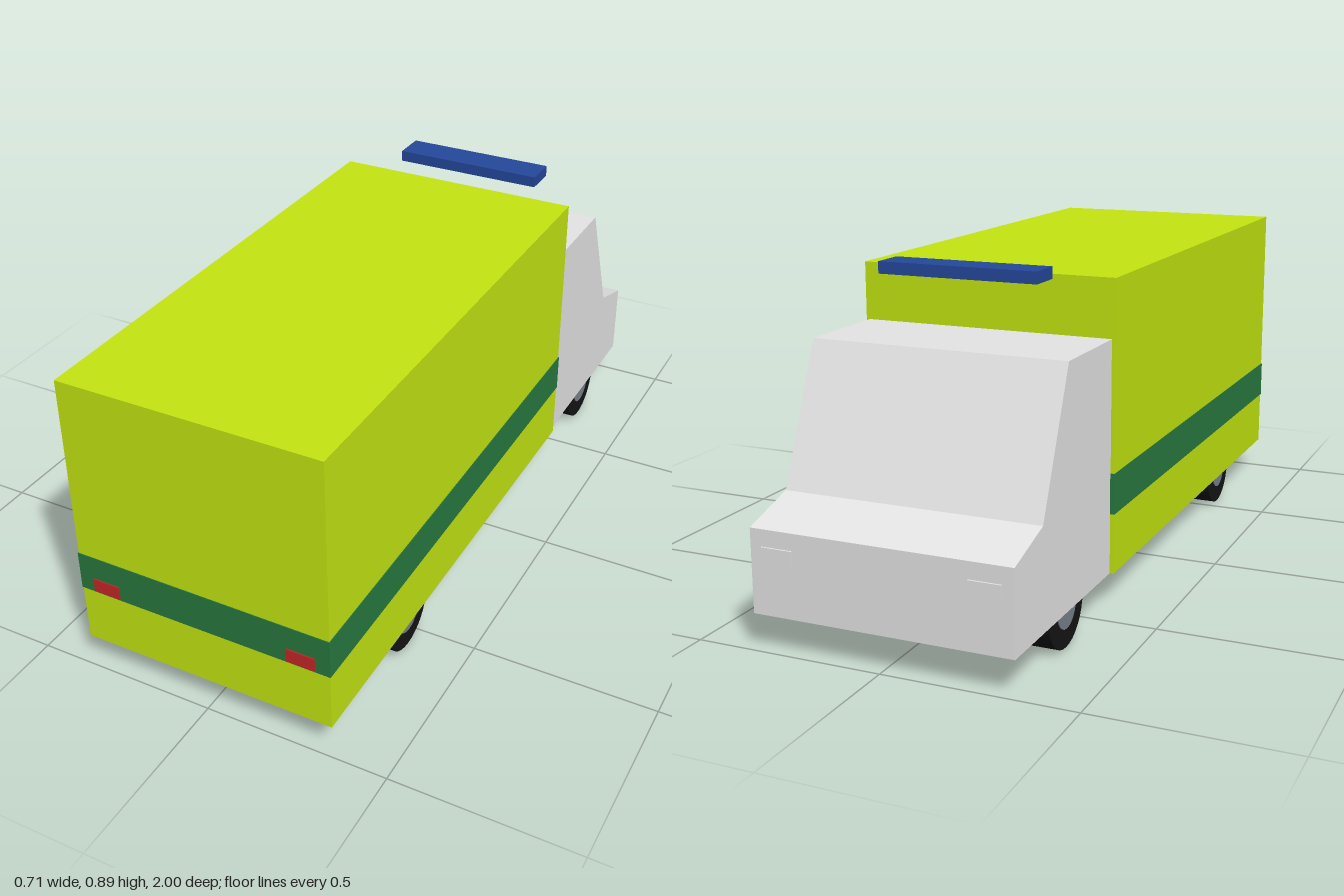
import * as THREE from 'three';

const mat = (name, color) => {
  const m = new THREE.MeshStandardMaterial({ color });
  m.name = name;
  return m;
};

export function createModel() {
  const lime = mat('lime', 0xc4e611);
  const green = mat('green', 0x287a40);
  const silver = mat('silver', 0xe5e5e5);
  const blue = mat('blue', 0x24489b);
  const red = mat('red', 0xc42626);
  const rubber = mat('rubber', 0x141414);
  const hubGrey = mat('hubGrey', 0x7a828c);

  const model = new THREE.Group();
  model.name = 'boxTruck';

  const add = (name, geometry, material, x = 0, y = 0, z = 0) => {
    const mesh = new THREE.Mesh(geometry, material);
    mesh.name = name;
    mesh.position.set(x, y, z);
    model.add(mesh);
    return mesh;
  };
  // Box given by its limits on each axis
  const box = (name, material, [x0, x1], [y0, y1], [z0, z1]) =>
    add(name, new THREE.BoxGeometry(x1 - x0, y1 - y0, z1 - z0), material,
      (x0 + x1) / 2, (y0 + y1) / 2, (z0 + z1) / 2);

  // Cargo body with a band around it, and the light bar
  box('cargoBody', lime, [-0.352, 0.352], [0.093, 0.858], [-0.414, 0.995]);
  box('bodyStripe', green, [-0.354, 0.354], [0.253, 0.36], [-0.416, 0.997]);
  box('lightBar', blue, [-0.215, 0.215], [0.858, 0.889], [-0.583, -0.49]);

  // Cab: side profile (-z, y) extruded across the width
  const profile = new THREE.Shape([
    [0.41, 0.093], [0.995, 0.093], [0.995, 0.308],
    [0.84, 0.355], [0.69, 0.705], [0.41, 0.705],
  ].map(([z, y]) => new THREE.Vector2(z, y)));
  const cab = new THREE.ExtrudeGeometry(profile, { depth: 0.684, bevelEnabled: false });
  cab.translate(0, 0, -0.342).rotateY(Math.PI / 2);
  add('cab', cab, silver);

  // Lamps and wheels, mirrored left and right
  const tyre = new THREE.CylinderGeometry(0.105, 0.105, 0.075, 32).rotateZ(Math.PI / 2);
  const hub = new THREE.CylinderGeometry(0.056, 0.056, 0.08, 24).rotateZ(Math.PI / 2);
  for (const side of [-1, 1]) {
    const lampX = [side * 0.275 - 0.038, side * 0.275 + 0.038];
    box('tailLamp', red, lampX, [0.257, 0.295], [0.99, 1.0]);
    box('headLamp', silver, [side * 0.27 - 0.042, side * 0.27 + 0.042], [0.23, 0.265], [-1.0, -0.99]);
    for (const z of [-0.69, 0.56]) {
      add('tyre', tyre, rubber, side * 0.299, 0.105, z);
      add('hub', hub, hubGrey, side * 0.299, 0.105, z);
    }
  }
  return model;
}
